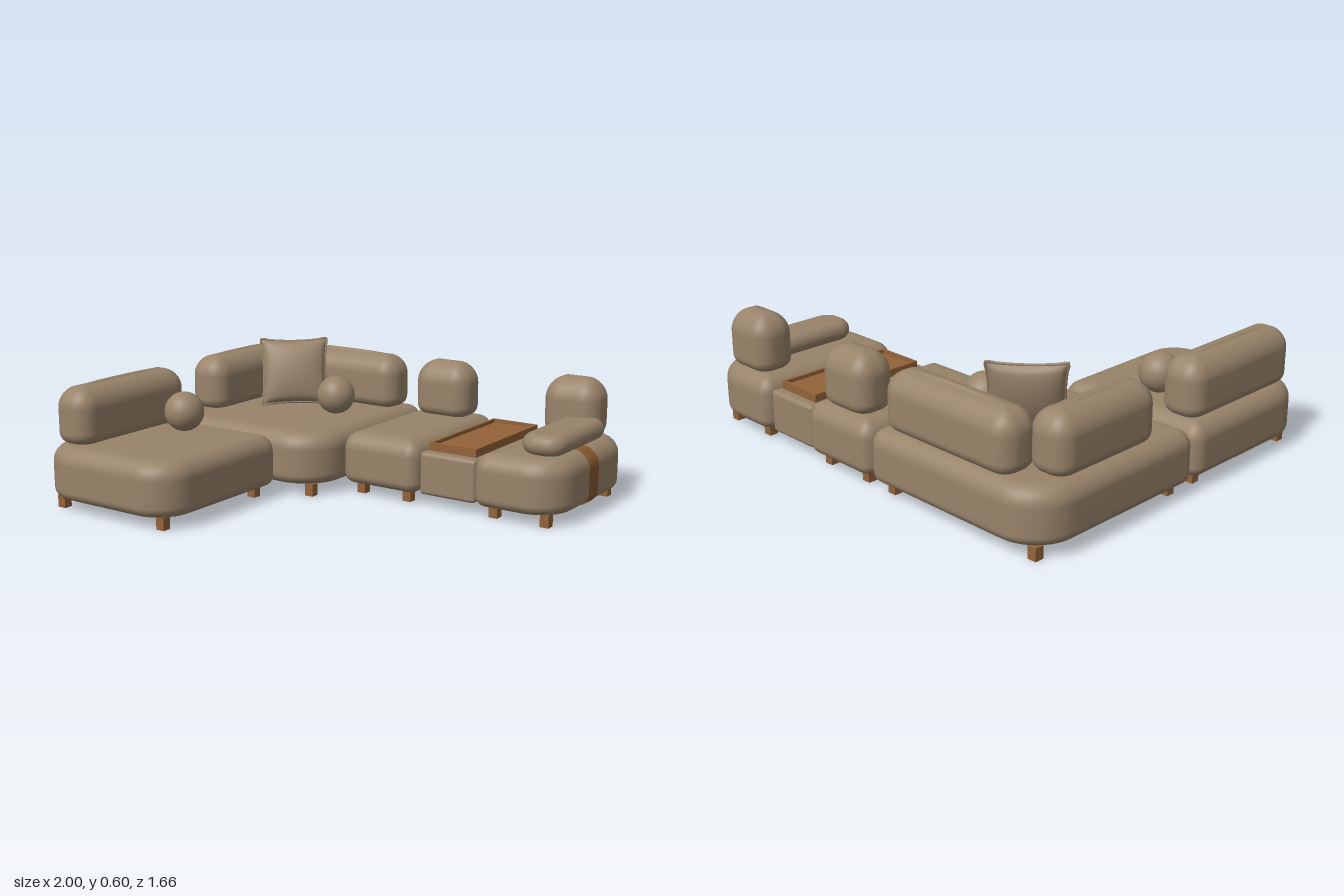
import * as THREE from 'three';
import { RoundedBoxGeometry } from 'three/addons/geometries/RoundedBoxGeometry.js';

const mat = (name, color, side = THREE.FrontSide) => {
  const m = new THREE.MeshStandardMaterial({ color, side });
  m.name = name;
  return m;
};

// Vertical edge profile: [inset, y] from the underside to the top
function edgeProfile(y0, y1, rBottom, rTop, steps = 8) {
  const pts = [];
  for (let i = 0; i <= steps; i++) {
    const a = (i / steps) * Math.PI / 2;
    pts.push([rBottom * (1 - Math.sin(a)), y0 + rBottom * (1 - Math.cos(a))]);
  }
  for (let i = 0; i <= steps; i++) {
    const a = (i / steps) * Math.PI / 2;
    pts.push([rTop * (1 - Math.cos(a)), y1 - rTop * (1 - Math.sin(a))]);
  }
  return pts;
}

// Upholstered block: rounded plan (radii: +x+z, -x+z, -x-z, +x-z), rounded edges, crowned top
function softBlock([x0, x1], [y0, y1], [z0, z1], radii, rBottom, rTop, crown) {
  const hx = (x1 - x0) / 2, hz = (z1 - z0) / 2, cx = (x0 + x1) / 2, cz = (z0 + z1) / 2;
  const signs = [[1, 1], [-1, 1], [-1, -1], [1, -1]], arc = 10;
  const outline = (inset) => {
    const pts = [];
    signs.forEach(([sx, sz], q) => {
      const r = Math.max(radii[q] - inset, 0.008);
      for (let k = 0; k <= arc; k++) {
        const a = (q + k / arc) * Math.PI / 2;
        pts.push([sx * (hx - inset - r) + r * Math.cos(a), sz * (hz - inset - r) + r * Math.sin(a)]);
      }
    });
    return pts;
  };
  const rings = [];
  const addCap = (inset, y, scales) => scales.forEach((s) =>
    rings.push(outline(inset).map(([x, z]) => [x * s, y, z * s])));
  const profile = edgeProfile(y0, y1 - crown, rBottom, rTop);
  addCap(rBottom, y0, [0.001, 0.5, 0.95]);
  profile.forEach(([inset, y]) => rings.push(outline(inset).map(([x, z]) => [x, y, z])));
  addCap(rTop, y1 - crown, [0.95, 0.8, 0.6, 0.4, 0.2, 0.001]);

  const pos = [], index = [], n = rings[0].length;
  rings.forEach((ring) => ring.forEach(([x, y, z]) => {
    const t = Math.max(0, (y - y0) / (y1 - crown - y0));
    const bow = crown * t * t * (1 - (x / hx) ** 2) * (1 - (z / hz) ** 2);
    pos.push(cx + x, y + bow, cz + z);
  }));
  for (let i = 0; i < rings.length - 1; i++) {
    for (let j = 0; j < n; j++) {
      const a = i * n + j, b = i * n + (j + 1) % n, c = a + n, d = b + n;
      index.push(a, c, b, b, c, d);
    }
  }
  const g = new THREE.BufferGeometry();
  g.setAttribute('position', new THREE.Float32BufferAttribute(pos, 3));
  g.setIndex(index);
  g.computeVertexNormals();
  return g;
}

// Square throw pillow with pinched edges and a corded seam
function throwPillow(size, thickness, fabric) {
  const group = new THREE.Group();
  const h = size / 2;
  const edge = (u, v) => [h * u * (1 - 0.07 * (1 - v * v)), h * v * (1 - 0.07 * (1 - u * u))];
  for (const side of [1, -1]) {
    const g = new THREE.PlaneGeometry(2, 2, 24, 24);
    const p = g.attributes.position;
    for (let i = 0; i < p.count; i++) {
      const u = p.getX(i), v = p.getY(i);
      const z = thickness / 2 * Math.pow(Math.max(0, (1 - u * u) * (1 - v * v)), 0.45);
      p.setXYZ(i, ...edge(u, v), z);
    }
    g.computeVertexNormals();
    const face = new THREE.Mesh(g, fabric);
    face.name = side > 0 ? 'pillowFront' : 'pillowBack';
    if (side < 0) face.rotation.y = Math.PI;
    group.add(face);
  }
  const seam = [];
  for (let q = 0; q < 4; q++) {
    for (let k = 0; k < 8; k++) {
      const t = -1 + k / 4;
      const [u, v] = [[t, -1], [1, t], [-t, 1], [-1, -t]][q];
      seam.push(new THREE.Vector3(...edge(u, v), 0));
    }
  }
  const cord = new THREE.Mesh(
    new THREE.TubeGeometry(new THREE.CatmullRomCurve3(seam, true), 96, 0.006, 6, true), fabric);
  cord.name = 'pillowSeam';
  group.add(cord);
  return group;
}

export function createModel() {
  const root = new THREE.Group();
  root.name = 'modularSofa';
  const fabric = mat('taupeFabric', 0x98836a);
  const wood = mat('brownWood', 0x93633a);
  const leather = mat('tanLeather', 0x8a5a30, THREE.DoubleSide);

  const add = (name, geometry, material, parent = root) => {
    const mesh = new THREE.Mesh(geometry, material);
    mesh.name = name;
    parent.add(mesh);
    return mesh;
  };

  // Seat modules, each with four square legs
  const modules = [
    ['cornerSeat', [-1, -0.07], [-0.83, 0.075], [0.2, 0.06, 0.2, 0.06], [-0.92, -0.15], [-0.755, 0]],
    ['chaiseSeat', [-1, -0.27], [0.082, 0.83], [0.17, 0.17, 0.06, 0.06], [-0.92, -0.35], [0.16, 0.755]],
    ['middleSeat', [-0.067, 0.325], [-0.83, -0.105], [0.06, 0.06, 0.06, 0.06], [0.01, 0.25], [-0.755, -0.18]],
    ['endSeat', [0.6, 1], [-0.83, -0.105], [0.17, 0.06, 0.06, 0.17], [0.68, 0.92], [-0.755, -0.18]],
  ];
  for (const [name, xs, zs, radii, legX, legZ] of modules) {
    const group = new THREE.Group();
    group.name = name;
    root.add(group);
    add(name + 'Base', softBlock(xs, [0.05, 0.29], zs, radii, 0.045, 0.075, 0.008), fabric, group);
    for (const x of legX) for (const z of legZ) {
      add('leg', new THREE.BoxGeometry(0.04, 0.055, 0.04), wood, group).position.set(x, 0.0275, z);
    }
  }

  // Back cushions
  const backs = [
    ['cornerBackCushion', [-0.81, -0.12], [-0.8, -0.605]],
    ['cornerSideCushion', [-0.965, -0.77], [-0.67, -0.115]],
    ['chaiseSideCushion', [-0.965, -0.77], [0.1, 0.77]],
    ['middleBackCushion', [-0.01, 0.27], [-0.8, -0.605]],
    ['endBackCushion', [0.655, 0.92], [-0.8, -0.605]],
  ];
  for (const [name, xs, zs] of backs) {
    add(name, softBlock(xs, [0.28, 0.537], zs, [0.08, 0.08, 0.08, 0.08], 0.05, 0.085, 0.015), fabric);
  }

  // Low armrest on the end seat
  add('armrest', softBlock([0.76, 0.955], [0.283, 0.375], [-0.7, -0.195],
    [0.08, 0.08, 0.08, 0.08], 0.042, 0.045, 0.004), fabric);

  // Leather strap wrapping from under the end seat up to the armrest
  const path = [[0.2, 0.05], ...edgeProfile(0.05, 0.282, 0.045, 0.075), [0.12, 0.284]];
  const strap = new THREE.PlaneGeometry(1, 1, path.length - 1, 1);
  path.forEach(([inset, y], i) => {
    const x = 1 - inset + 0.004, lift = y < 0.06 ? -0.003 : y > 0.27 ? 0.004 : 0;
    strap.attributes.position.setXYZ(i, x, y + lift, -0.49);
    strap.attributes.position.setXYZ(i + path.length, x, y + lift, -0.4);
  });
  strap.computeVertexNormals();
  add('armrestStrap', strap, leather);

  // Upholstered table block with a framed wooden tray
  add('tableBlock', new RoundedBoxGeometry(0.275, 0.19, 0.66, 4, 0.018), fabric)
    .position.set(0.4625, 0.145, -0.47);
  const rect = (Type, w, d) => new Type([[-w, -d], [w, -d], [w, d], [-w, d]]
    .map(([x, y]) => new THREE.Vector2(x, y)));
  const frame = rect(THREE.Shape, 0.114, 0.283);
  frame.holes.push(rect(THREE.Path, 0.102, 0.271));
  const rim = add('trayRim', new THREE.ExtrudeGeometry(frame, { depth: 0.038, bevelEnabled: false }), wood);
  rim.rotation.x = -Math.PI / 2;
  rim.position.set(0.462, 0.238, -0.472);
  add('trayPanel', new THREE.BoxGeometry(0.206, 0.022, 0.544), wood).position.set(0.462, 0.249, -0.472);

  // Round cushions
  for (const [x, z] of [[-0.645, 0.275], [-0.298, -0.4]]) {
    add('ballCushion', new THREE.SphereGeometry(0.088, 32, 24), fabric).position.set(x, 0.37, z);
  }

  // Square pillow leaning into the corner
  const pillow = throwPillow(0.315, 0.11, fabric);
  pillow.name = 'throwPillow';
  pillow.rotation.set(-0.27, 0.72, 0, 'YXZ');
  pillow.position.set(-0.57, 0.445, -0.44);
  root.add(pillow);

  return root;
}
